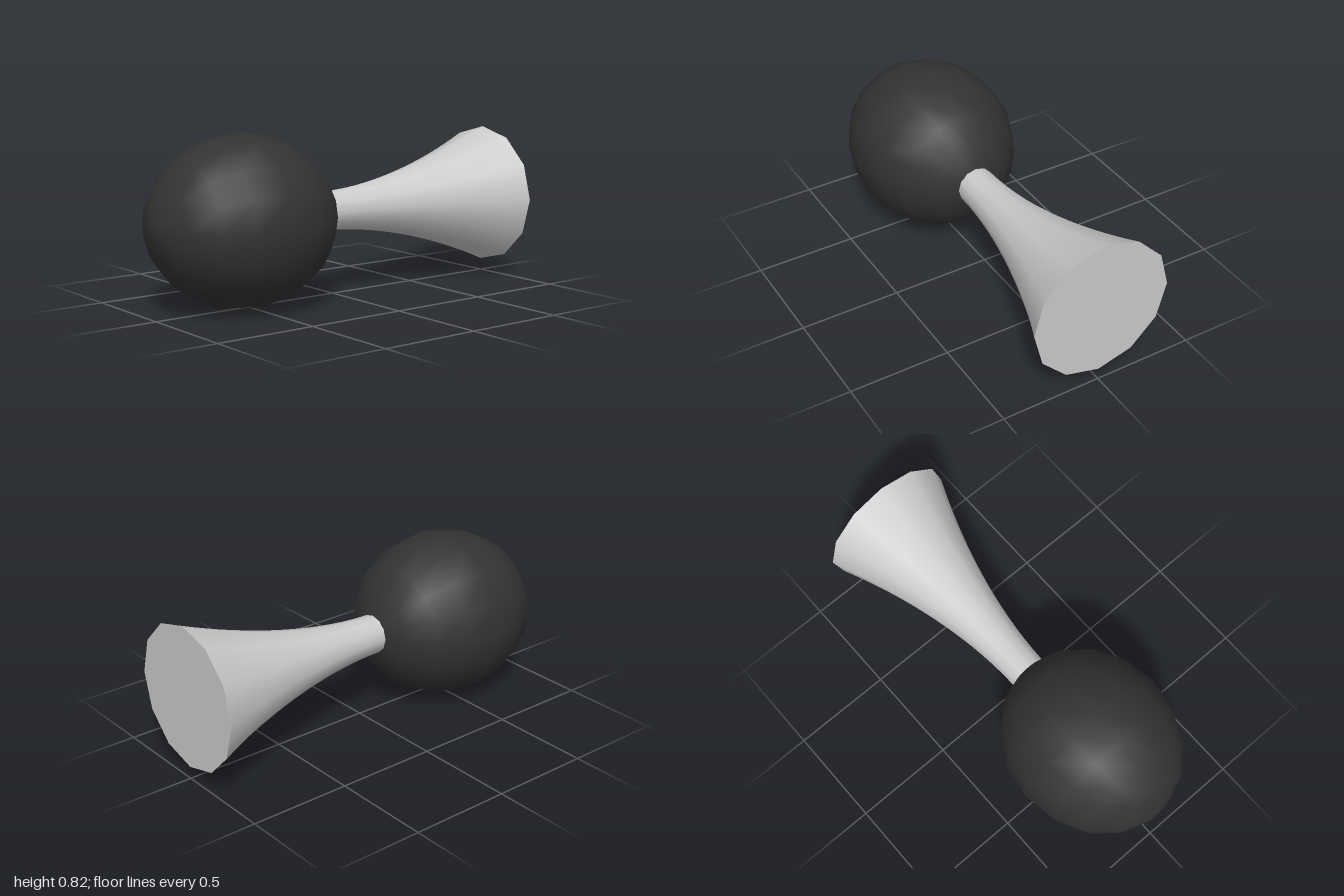
import * as THREE from 'three';

const CENTER_Y = 0.412;

export function createModel() {
  const group = new THREE.Group();
  const dark = new THREE.MeshStandardMaterial({ color: 0x333333 });
  const grey = new THREE.MeshStandardMaterial({ color: 0xcccccc });

  const add = (name, geometry, material, z = 0) => {
    const mesh = new THREE.Mesh(geometry, material);
    mesh.name = name;
    mesh.position.set(0, CENTER_Y, z);
    group.add(mesh);
  };

  // Ball: stretched along z, 16 sides, small blunt ends
  const ballProfile = [new THREE.Vector2(0, -0.466)];
  for (let i = -4; i <= 4; i++) {
    const a = THREE.MathUtils.degToRad(i * 20.5);
    ballProfile.push(new THREE.Vector2(0.412 * Math.cos(a), 0.47 * Math.sin(a)));
  }
  ballProfile.push(new THREE.Vector2(0, 0.466));
  add('ball', new THREE.LatheGeometry(ballProfile, 16).rotateX(Math.PI / 2), dark, 0.534);

  // Handle: 12 sided, flaring towards the back
  const steps = 16;
  const handleProfile = [];
  for (let i = steps; i >= 0; i--) {
    const t = i / steps;
    handleProfile.push(new THREE.Vector2(0.096 + 0.256 * t ** 1.8, 0.07 - 1.07 * t));
  }
  // Straight neck set into the ball
  handleProfile.push(new THREE.Vector2(0.096, 0.12));
  add('handle', new THREE.LatheGeometry(handleProfile, 12).rotateX(Math.PI / 2), grey);

  // Flat end of the handle
  add('handleEnd', new THREE.CircleGeometry(0.352, 12).rotateY(Math.PI), grey, -1);

  return group;
}
